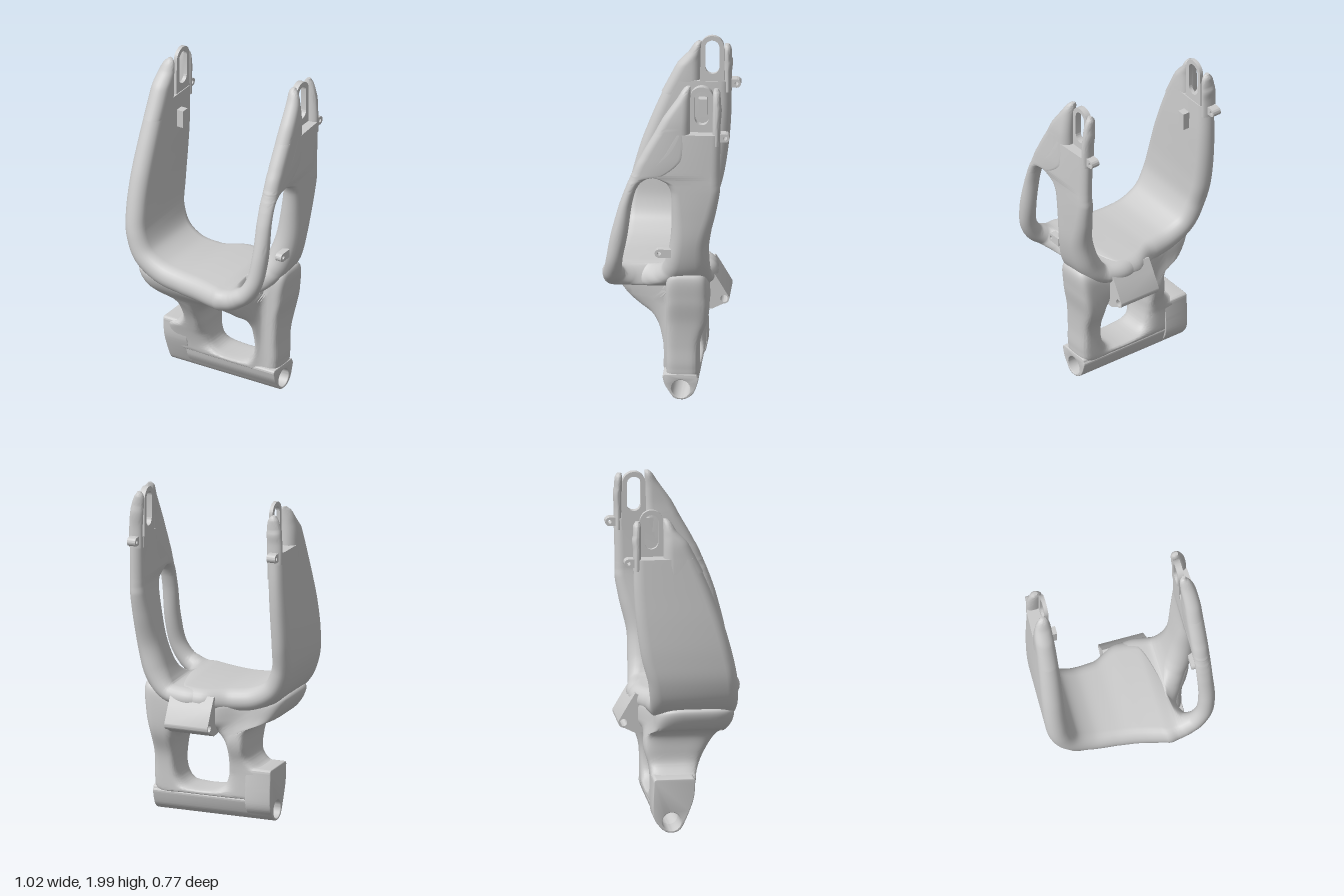
import * as THREE from 'three';
import { toCreasedNormals } from 'three/addons/utils/BufferGeometryUtils.js';

const material = new THREE.MeshStandardMaterial({ color: 0xcccccc, side: THREE.DoubleSide });
const { lerp, smoothstep, mapLinear } = THREE.MathUtils;

function addMesh(group, name, geometry) {
  const mesh = new THREE.Mesh(geometry, material);
  mesh.name = name;
  group.add(mesh);
  return mesh;
}

// Skin over equal rings of points; either closed on itself or capped at both ends
function skin(pos, ring, closed) {
  const count = pos.length / 3 / ring;
  const index = [];
  for (let i = 0; i < (closed ? count : count - 1); i++) {
    for (let j = 0; j < ring; j++) {
      const k = (j + 1) % ring, a = i * ring, b = ((i + 1) % count) * ring;
      index.push(a + j, a + k, b + k, a + j, b + k, b + j);
    }
  }
  const last = (count - 1) * ring;
  for (let j = 1; j < ring - 1 && !closed; j++) {
    index.push(0, j + 1, j, last, last + j, last + j + 1);
  }
  const g = new THREE.BufferGeometry();
  g.setAttribute('position', new THREE.Float32BufferAttribute(pos, 3));
  g.setIndex(index);
  return toCreasedNormals(g, 0.9);
}

// Loft of rounded sections, outer wall thinner to the rear; each station is [x, y, thickness, zFront, zBack]
function band(stations, steps = 6, arc = 12) {
  const centre = new THREE.CatmullRomCurve3(stations.map(s => new THREE.Vector3(s[0], s[1], s[2])));
  const edges = new THREE.CatmullRomCurve3(stations.map(s => new THREE.Vector3(s[3], s[4], 0)));
  const n = (stations.length - 1) * steps;
  const pos = [];
  for (let i = 0; i <= n; i++) {
    const u = i / n;
    const c = centre.getPoint(u), e = edges.getPoint(u);
    const a = centre.getPoint(Math.max(0, u - 0.004)), b = centre.getPoint(Math.min(1, u + 0.004));
    const len = Math.hypot(b.x - a.x, b.y - a.y) || 1;
    const nx = -(b.y - a.y) / len, ny = (b.x - a.x) / len;
    const h = Math.max(0.008, c.z / 2), w = Math.max(0.006, (e.x - e.y) / 2), r = Math.min(h, w);
    for (let side = 0; side < 2; side++) {
      for (let k = 0; k <= arc; k++) {
        const t = Math.PI * (side + k / arc);
        const z = (e.x + e.y) / 2 + (side ? -1 : 1) * (w - r) + r * Math.sin(t);
        const d = h * Math.cos(t) * (Math.cos(t) < 0 ? 0.75 + 0.25 * smoothstep(z, -0.33, -0.05) : 1);
        pos.push(c.x + nx * d, c.y + ny * d, z);
      }
    }
  }
  return skin(pos, 2 * (arc + 1), false);
}

const points = list => list.map(p => new THREE.Vector2(p[0], p[1]));
const circle = (z, y, r) => new THREE.Path().absarc(z, y, r, 0, Math.PI * 2, true);

// Extrude a (z, y) side shape from x0 to x1
function sideExtrude(shape, x0, x1, bevel = 0) {
  const g = new THREE.ExtrudeGeometry(shape, {
    depth: x1 - x0 - 2 * bevel, curveSegments: 20, bevelEnabled: bevel > 0,
    bevelSize: bevel, bevelThickness: bevel, bevelOffset: -bevel, bevelSegments: 3,
  });
  g.rotateY(-Math.PI / 2).translate(x1 - bevel, 0, 0);
  return toCreasedNormals(g, 0.6);
}

// Smooth lookup through [y, value] rows
function profile(rows) {
  const table = new THREE.SplineCurve(points(rows)).getPoints(60);
  return y => {
    const i = Math.max(1, table.findIndex(p => p.x >= y));
    return mapLinear(y, table[i - 1].x, table[i].x, table[i - 1].y, table[i].y);
  };
}

// Lower frame: a closed loft round the window, from its edge out to the outline
function lowerFrame() {
  const rows = [ // window x, y, outline x, y (clockwise)
    [0.085, 0.55, 0.085, 0.75], [0.18, 0.53, 0.25, 0.755], [0.225, 0.485, 0.425, 0.8], [0.24, 0.44, 0.428, 0.64],
    [0.248, 0.37, 0.4, 0.48], [0.246, 0.27, 0.39, 0.33], [0.225, 0.21, 0.39, 0.2], [0.19, 0.178, 0.375, 0.135],
    [0.13, 0.165, 0.2, 0.13], [0.04, 0.165, 0.02, 0.13], [-0.02, 0.178, -0.18, 0.13], [-0.055, 0.21, -0.335, 0.14],
    [-0.073, 0.26, -0.345, 0.3], [-0.08, 0.31, -0.255, 0.338], [-0.08, 0.36, -0.212, 0.385], [-0.08, 0.41, -0.202, 0.46],
    [-0.072, 0.45, -0.213, 0.555], [-0.055, 0.48, -0.28, 0.612], [-0.03, 0.51, -0.375, 0.635], [0, 0.53, -0.425, 0.76],
    [0.04, 0.545, -0.18, 0.755],
  ];
  const curve = k => new THREE.CatmullRomCurve3(rows.map(r => new THREE.Vector3(r[k], r[k + 1], 0)), true);
  const inner = curve(0), outer = curve(2);
  const front = profile([[0, 0], [0.2, 0.035], [0.4, 0.105], [0.55, 0.19], [0.68, 0.28], [0.95, 0.32]]);
  const back = profile([[0, -0.17], [0.12, -0.195], [0.35, -0.2], [0.52, -0.25], [0.75, -0.25], [0.95, -0.245]]);
  const square = v => 0.5 + 0.5 * Math.sign(v) * Math.abs(v) ** 0.5;
  const steps = 168, ring = 56, pos = [];
  for (let i = 0; i < steps; i++) {
    const p = inner.getPoint(i / steps), q = outer.getPoint(i / steps);
    for (let j = 0; j < ring; j++) {
      const t = 2 * Math.PI * j / ring;
      const v = square(Math.cos(t)), x = lerp(p.x, q.x, v), y = lerp(p.y, q.y, v);
      const f = lerp(front(y), 0, smoothstep(x, 0.22, 0.31));
      const b = back(y) + 0.07 * smoothstep(-x, 0, 0.2) * smoothstep(y, 0.4, 0.65);
      pos.push(x, y, lerp(b, f, square(Math.sin(t))));
    }
  }
  return skin(pos, ring, true);
}

// Teardrop pivot housing with a through bore
function pivotShape(top, zFront, zBack) {
  const s = new THREE.Shape();
  s.moveTo(zBack + 0.005, top - 0.02);
  s.splineThru(points([[zBack, 0.12], [-0.165, 0.045], [-0.125, 0.01], [-0.09, 0.003], [-0.05, 0.013],
    [-0.018, 0.055], [zFront - 0.012, top * 0.6], [zFront, top - 0.02]]));
  s.quadraticCurveTo(zFront, top, zFront - 0.02, top);
  s.lineTo(zBack + 0.025, top);
  s.quadraticCurveTo(zBack + 0.005, top, zBack + 0.005, top - 0.02);
  s.holes.push(circle(-0.09, 0.07, 0.055));
  return s;
}

// Small lug with an eye, pointing along dir in z
function lugShape(zEye, y, dir) {
  const r = 0.026, s = new THREE.Shape();
  s.moveTo(zEye - dir * 0.07, y - r);
  s.lineTo(zEye, y - r);
  s.absarc(zEye, y, r, -Math.PI / 2, Math.PI / 2, dir < 0);
  s.lineTo(zEye - dir * 0.07, y + r);
  s.holes.push(circle(zEye, y, 0.011));
  return s;
}

// Arched axle plate with a long slot
function axlePlateShape() {
  const z = -0.217, s = new THREE.Shape();
  s.moveTo(z - 0.075, 1.64);
  s.lineTo(z + 0.075, 1.64);
  s.lineTo(z + 0.068, 1.925);
  s.absarc(z, 1.925, 0.068, 0, Math.PI, false);
  const slot = new THREE.Path();
  slot.absarc(z, 1.923, 0.041, 0, Math.PI, false);
  slot.absarc(z, 1.796, 0.041, Math.PI, Math.PI * 2, false);
  s.holes.push(slot);
  return s;
}

export function createModel() {
  const model = new THREE.Group();
  model.name = 'swingarm';

  // Closed right arm, cradle floor and the front rail of the open left arm
  addMesh(model, 'cradleAndFrontRail', band([
    [-0.442, 1.71, 0.115, 0.04, -0.325], [-0.445, 1.5, 0.125, 0.13, -0.325],
    [-0.449, 1.3, 0.13, 0.205, -0.31], [-0.447, 1.1, 0.13, 0.26, -0.28], [-0.43, 0.95, 0.13, 0.29, -0.24],
    [-0.37, 0.82, 0.14, 0.3, -0.22], [-0.25, 0.745, 0.15, 0.305, -0.21], [-0.1, 0.723, 0.15, 0.315, -0.22],
    [0.05, 0.722, 0.15, 0.34, -0.29], [0.18, 0.727, 0.145, 0.375, -0.27], [0.262, 0.737, 0.13, 0.378, -0.02],
    [0.295, 0.748, 0.123, 0.376, 0.17], [0.328, 0.766, 0.115, 0.373, 0.24], [0.378, 0.8, 0.107, 0.365, 0.255],
    [0.432, 0.89, 0.102, 0.348, 0.25], [0.456, 1.05, 0.098, 0.32, 0.22], [0.456, 1.25, 0.095, 0.268, 0.193],
    [0.456, 1.34, 0.095, 0.237, 0.17], [0.456, 1.39, 0.097, 0.218, 0.142], [0.456, 1.425, 0.1, 0.203, 0.09],
    [0.456, 1.45, 0.1, 0.192, -0.02], [0.456, 1.55, 0.1, 0.145, -0.13], [0.455, 1.71, 0.1, 0.058, -0.15],
  ]));

  // Rear leg of the open left arm, thick where it meets the lower frame
  addMesh(model, 'rearLeg', band([
    [0.0, 0.722, 0.135, 0, -0.26], [0.15, 0.727, 0.135, 0.15, -0.295], [0.26, 0.737, 0.128, 0.2, -0.275],
    [0.295, 0.752, 0.135, 0.13, -0.268], [0.325, 0.78, 0.145, 0.07, -0.265], [0.353, 0.82, 0.155, 0.025, -0.262],
    [0.382, 0.88, 0.162, 0, -0.26], [0.418, 1.02, 0.155, -0.03, -0.26], [0.44, 1.2, 0.13, -0.04, -0.3],
    [0.453, 1.34, 0.108, -0.035, -0.325], [0.456, 1.395, 0.101, -0.01, -0.325], [0.456, 1.425, 0.1, 0.05, -0.325],
    [0.456, 1.455, 0.1, 0.13, -0.325], [0.456, 1.6, 0.1, 0.03, -0.328], [0.455, 1.71, 0.1, -0.03, -0.33],
  ]));

  // Prongs in front of and behind each axle slot
  for (const [side, x, tipX, t, top, z0] of [['right', -0.442, -0.43, 0.115, 1.945, 0.04], ['left', 0.455, 0.432, 0.1, 1.995, 0.058]]) {
    const mid = (x + tipX) / 2, s = x < 0 ? 1 : -1;
    const front = [
      [x, 1.62, t, z0 + 0.045, -0.15], [x, 1.71, t, z0, -0.15], [x, 1.8, t * 0.96, z0 - 0.047, -0.15],
      [mid, top - 0.07, t * 0.82, -0.075, -0.15], [tipX, top - 0.02, t * 0.55, -0.106, -0.151],
      [tipX, top, t * 0.2, -0.126, -0.152],
    ];
    const rear = [
      [x, 1.64, t * 0.95, -0.283, -0.33], [x, 1.76, t * 0.95, -0.283, -0.33],
      [mid, top - 0.1, t * 0.88, -0.283, -0.33], [tipX, top - 0.04, t * 0.65, -0.283, -0.328],
      [tipX, top - 0.012, t * 0.25, -0.289, -0.315],
    ];
    // the right arm runs downwards so that its outer wall is on the same hand
    addMesh(model, side + 'FrontProng', band(s > 0 ? front.reverse() : front));
    addMesh(model, side + 'RearProng', band(s > 0 ? rear.reverse() : rear));
  }

  addMesh(model, 'lowerFrame', lowerFrame());
  addMesh(model, 'pivotBoss', sideExtrude(pivotShape(0.33, 0.05, -0.2), -0.36, -0.2, 0.005));
  addMesh(model, 'pivotHousing', sideExtrude(pivotShape(0.16, 0.018, -0.192), -0.22, 0.39, 0.004));

  // Rear linkage bracket
  const bracket = new THREE.Shape(points([[-0.2, 0.74], [-0.265, 0.765], [-0.305, 0.7], [-0.363, 0.6]]));
  bracket.quadraticCurveTo(-0.37, 0.563, -0.328, 0.557);
  bracket.lineTo(-0.265, 0.525);
  bracket.lineTo(-0.2, 0.53);
  bracket.holes.push(circle(-0.334, 0.59, 0.022));
  addMesh(model, 'linkageBracket', sideExtrude(bracket, -0.03, 0.245));

  // Slotted axle plates and rear lugs on both arms
  for (const [side, x0, x1, lug0, lug1] of [['right', -0.412, -0.39, -0.468, -0.414], ['left', 0.403, 0.44, 0.422, 0.474]]) {
    addMesh(model, side + 'AxlePlate', sideExtrude(axlePlateShape(), x0, x1));
    addMesh(model, side + 'RearLug', sideExtrude(lugShape(-0.358, 1.688, -1), lug0, lug1));
  }
  addMesh(model, 'windowLug', sideExtrude(lugShape(0.032, 0.947, 1), 0.425, 0.465));

  // Guide block on the inner face of the closed arm
  const block = addMesh(model, 'guideBlock', new THREE.BoxGeometry(0.055, 0.11, 0.05));
  block.position.set(-0.368, 1.557, -0.163);
  return model;
}
